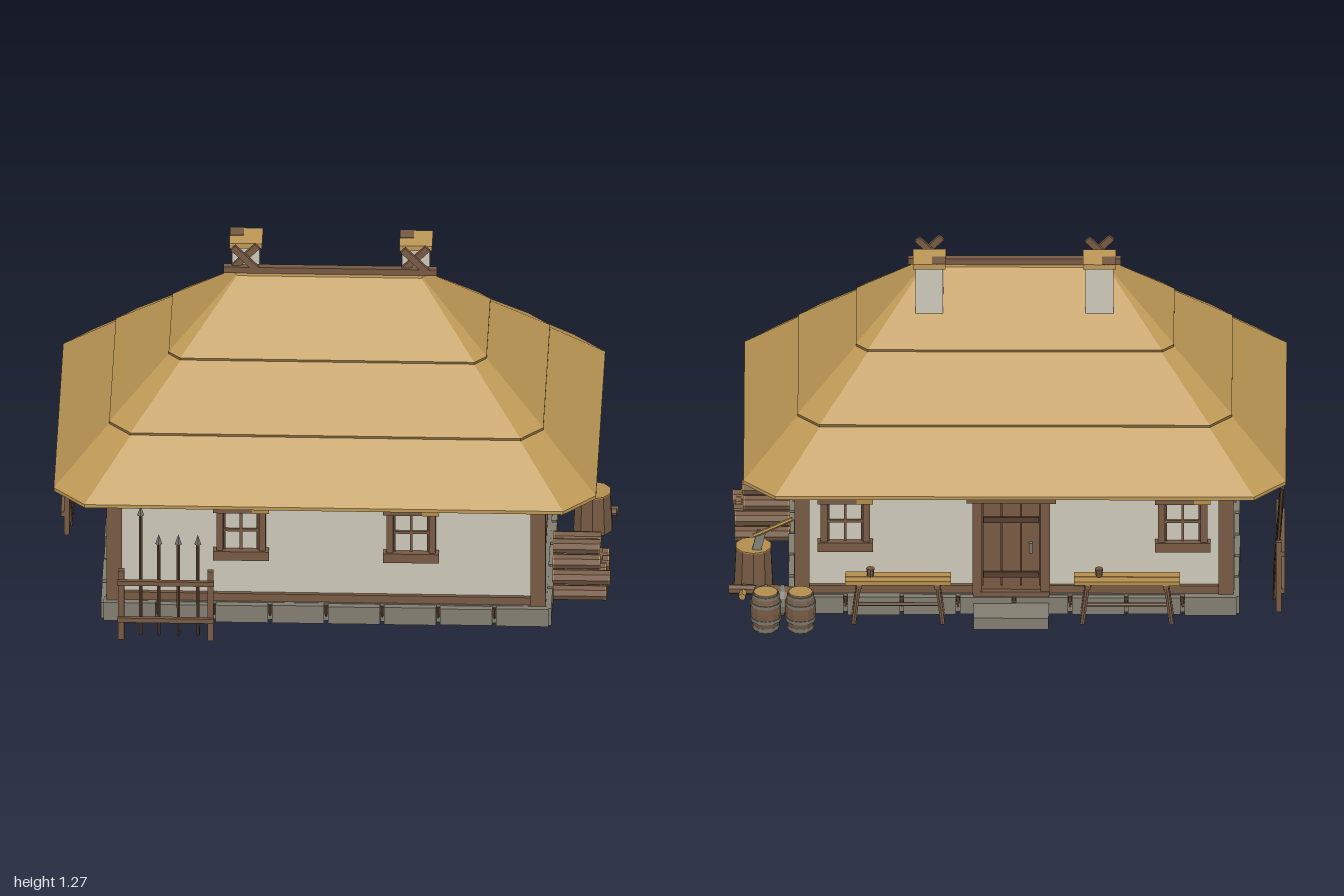
import * as THREE from 'three';

const mat = (name, color) => {
  const m = new THREE.MeshStandardMaterial({ color });
  m.name = name;
  return m;
};

export function createModel() {
  const thatch = mat('thatch', 0xbd9855), thatchEdge = mat('thatch edge', 0x86693a);
  const wood = mat('wood', 0x765a43), darkWood = mat('dark wood', 0x553f2f);
  const paleWood = mat('pale wood', 0xb28d4c), plaster = mat('plaster', 0xcbc7b8);
  const stone = mat('stone', 0x827d70), iron = mat('iron', 0x777770);
  const model = new THREE.Group();
  model.name = 'thatchedCottage';
  let seed = 7;
  const rand = () => (seed = (seed * 16807) % 2147483647) / 2147483647;

  // faceted mesh, box, rod and group helpers
  const add = (parent, name, geo, m, x = 0, y = 0, z = 0) => {
    const g = geo.index ? geo.toNonIndexed() : geo;
    g.computeVertexNormals();
    const mesh = new THREE.Mesh(g, m);
    mesh.name = name;
    mesh.position.set(x, y, z);
    parent.add(mesh);
    return mesh;
  };
  const box = (parent, name, m, w, h, d, x, y, z) => add(parent, name, new THREE.BoxGeometry(w, h, d), m, x, y, z);
  const rod = (parent, name, m, from, to, r, sides = 6, r2 = r) => {
    const a = new THREE.Vector3(...from), b = new THREE.Vector3(...to);
    const mesh = add(parent, name, new THREE.CylinderGeometry(r2, r, a.distanceTo(b), sides), m);
    mesh.position.copy(a).add(b).multiplyScalar(0.5);
    mesh.quaternion.setFromUnitVectors(new THREE.Vector3(0, 1, 0), b.sub(a).normalize());
    return mesh;
  };
  const group = (name, x, y, z, ry = 0) => {
    const g = new THREE.Group();
    g.name = name;
    g.position.set(x, y, z);
    g.rotation.y = ry;
    model.add(g);
    return g;
  };
  const CX = -0.025;

  // foundation with separate stones and pegs in the joints
  box(model, 'foundation', stone, 1.58, 0.072, 0.96, CX, 0.036, 0);
  const stoneRow = (len, n, place) => {
    const step = len / n;
    for (let i = 0; i < n; i++) {
      const u = -len / 2 + step * (i + 0.5), d = 0.045 + rand() * 0.012;
      place('foundationStone', new THREE.BoxGeometry(step - 0.014, 0.062 + rand() * 0.012, d), stone, u, 0.035);
      if (i) place('jointPeg', new THREE.CylinderGeometry(0.011, 0.004, 0.045, 5), darkWood, u - step / 2, 0.04);
    }
  };
  for (const s of [1, -1]) {
    stoneRow(1.61, 8, (n, g, m, u, y) => add(model, n, g, m, CX + u, y, s * 0.478));
    stoneRow(1.0, 6, (n, g, m, u, y) => add(model, n, g, m, CX + s * 0.782, y, u).rotation.y = Math.PI / 2);
  }

  // walls, sill beams and corner posts
  box(model, 'walls', plaster, 1.52, 0.49, 0.92, CX, 0.315, 0);
  for (const s of [1, -1]) {
    box(model, 'sillBeam', wood, 1.5, 0.03, 0.03, CX, 0.087, s * 0.46);
    box(model, 'sillBeam', wood, 0.03, 0.03, 0.9, CX + s * 0.76, 0.087, 0);
    for (const t of [1, -1]) box(model, 'cornerPost', wood, 0.054, 0.485, 0.054, CX + s * 0.76, 0.315, t * 0.457);
  }

  // thatched roof: octagonal sections shrinking to the ridge
  const ring = (t, out, dy) => {
    const hx = 0.9725 - 0.6375 * t + out, zh = 0.67 - 0.64 * t + out;
    const cx = 0.11 * (1 - t) + 0.004, cz = 0.12 * (1 - t) + 0.004, y = 0.56 + 0.597 * t + dy;
    return [[hx, zh - cz], [hx - cx, zh], [cx - hx, zh], [-hx, zh - cz], [-hx, cz - zh], [cx - hx, -zh], [hx - cx, -zh], [hx, cz - zh]]
      .map(([x, z]) => [x - 0.0275, y, z]);
  };
  const geoFrom = (pts) => new THREE.BufferGeometry().setAttribute('position', new THREE.Float32BufferAttribute(pts.flat(), 3));
  const band = (lo, hi) => geoFrom(lo.flatMap((a, i) => {
    const j = (i + 1) % lo.length;
    return [a, hi[i], hi[j], a, hi[j], lo[j]];
  }));
  const cap = (r, up) => geoFrom(r.flatMap((a, i) => {
    const b = r[(i + 1) % r.length], c = [-0.0275, a[1], 0];
    return up ? [c, b, a] : [c, a, b];
  }));
  const tiers = [0, 0.318, 0.645, 1];
  for (let i = 0; i < 3; i++) {
    const low = ring(tiers[i], i ? 0.009 : 0, -0.013), top = ring(tiers[i], i ? 0.009 : 0, 0);
    add(model, 'thatchLip', band(low, top), i ? thatchEdge : thatch);
    add(model, 'thatchTier', band(top, ring(tiers[i + 1], 0, 0)), thatch);
    add(model, i ? 'lipUnderside' : 'roofUnderside', cap(low, false), i ? thatchEdge : wood);
  }
  add(model, 'ridgeThatch', cap(ring(1, 0, 0), true), thatch);

  // ridge beam, crossed boards and chimneys
  box(model, 'ridgeBeam', wood, 0.765, 0.024, 0.026, CX, 1.17, 0);
  for (const s of [1, -1]) {
    const x = CX + s * 0.305;
    for (const t of [1, -1]) box(model, 'crossedBoard', wood, 0.024, 0.125, 0.015, x, 1.215, t * 0.007).rotation.z = t * 0.78;
    box(model, 'chimney', plaster, 0.1, 0.28, 0.1, x, 1.085, -0.112);
    box(model, 'chimneyCap', thatch, 0.118, 0.02, 0.12, x, 1.232, -0.115);
    box(model, 'chimneyCapPatch', wood, 0.05, 0.004, 0.06, x - 0.034, 1.242, -0.145);
  }

  // windows
  const addWindow = (x, z, ry) => {
    const g = group('window', x, 0, z, ry);
    box(g, 'pane', plaster, 0.14, 0.16, 0.006, 0, 0.36, 0.004);
    box(g, 'lintel', wood, 0.14, 0.036, 0.036, -0.03, 0.457, 0.018);
    box(g, 'lintelEnd', paleWood, 0.06, 0.036, 0.036, 0.07, 0.457, 0.018);
    box(g, 'sill', wood, 0.2, 0.036, 0.036, 0, 0.265, 0.018);
    for (const s of [1, -1]) {
      box(g, 'jamb', wood, 0.024, 0.16, 0.028, s * 0.076, 0.36, 0.014);
      box(g, 'sash', darkWood, 0.008, 0.16, 0.014, s * 0.06, 0.36, 0.007);
    }
    box(g, 'mullion', wood, 0.01, 0.16, 0.014, 0, 0.36, 0.008);
    box(g, 'transom', wood, 0.13, 0.01, 0.014, 0, 0.36, 0.008);
  };
  for (const s of [1, -1]) {
    addWindow(CX + s * 0.305, 0.46, 0);
    addWindow(CX + s * 0.605, -0.46, Math.PI);
    addWindow(CX + s * 0.76, 0, s * Math.PI / 2);
  }

  // door and step at the back
  const door = group('door', -0.015, 0, -0.46, Math.PI);
  for (let i = -1; i < 2; i++) box(door, 'doorPlank', wood, 0.066, 0.35, 0.016, i * 0.069, 0.26, 0.008);
  box(door, 'doorBacking', darkWood, 0.21, 0.35, 0.008, 0, 0.26, 0.004);
  for (const s of [1, -1]) {
    box(door, 'doorPost', wood, 0.034, 0.38, 0.034, s * 0.122, 0.265, 0.017);
    box(door, 'doorBatten', darkWood, 0.2, 0.022, 0.007, 0, 0.26 + s * 0.11, 0.019);
  }
  box(door, 'doorLintel', wood, 0.32, 0.04, 0.04, 0, 0.465, 0.02);
  box(door, 'threshold', wood, 0.27, 0.02, 0.036, 0, 0.078, 0.018);
  box(door, 'doorHandle', iron, 0.014, 0.04, 0.018, 0.07, 0.26, 0.022);
  box(door, 'doorStep', stone, 0.27, 0.045, 0.12, 0, 0.0225, 0.1);

  // benches, each with a mug
  for (const [x, mugX] of [[0.39, 0.1], [-0.43, 0.1]]) {
    const b = group('bench', x, 0, -0.54);
    for (const s of [1, -1]) {
      box(b, 'seatPlank', paleWood, 0.38, 0.016, 0.036, 0, 0.163, s * 0.02);
      box(b, 'seatBrace', wood, 0.02, 0.018, 0.07, s * 0.14, 0.147, 0);
      rod(b, 'benchStretcher', wood, [s * 0.15, 0.06, -0.03], [s * 0.15, 0.06, 0.03], 0.007);
      for (const t of [1, -1]) rod(b, 'benchLeg', wood, [s * 0.16, 0, t * 0.036], [s * 0.14, 0.155, t * 0.024], 0.009);
    }
    rod(b, 'benchRail', wood, [-0.15, 0.06, 0], [0.15, 0.06, 0], 0.007);
    rod(b, 'mug', wood, [mugX, 0.171, 0.005], [mugX, 0.203, 0.005], 0.011, 8, 0.015);
  }

  // fences with spears resting on them
  const addFence = (x, z, ry, tall) => {
    const f = group('fence', x, 0, z, ry);
    for (const s of [1, -1]) box(f, 'fencePost', wood, 0.022, 0.28, 0.02, s * 0.16, 0.14, 0);
    for (const y of [0.085, 0.235]) box(f, 'fenceRail', wood, 0.345, 0.018, 0.016, 0, y, 0.014);
    [-0.09, -0.025, 0.045, 0.115].forEach((u, i) => {
      const h = i ? 0.395 : tall - 0.04;
      rod(f, 'spearShaft', darkWood, [u, 0.01, -0.015], [u, h, 0.012], 0.007);
      const tip = add(f, 'spearTip', new THREE.ConeGeometry(0.013, 0.04, 4), iron, u, h + 0.018, 0.013);
      tip.scale.z = 0.5;
    });
  };
  addFence(-0.595, 0.637, 0, 0.55);
  addFence(-0.974, -0.31, -Math.PI / 2, 0.5);

  // stacked logs
  for (let row = 0; row < 4; row++) for (let i = 0; i < 5 - row; i++) {
    const z = 0.183 + (i - (4 - row) / 2) * 0.056, y = 0.03 + row * 0.048;
    const x1 = (row < 2 ? 0.965 : 0.935) + rand() * 0.02;
    rod(model, 'log', wood, [0.785, y, z], [x1, y, z], 0.028, 8);
    for (const [a, b] of [[x1, x1 + 0.004], [0.781, 0.785]]) rod(model, 'logEnd', paleWood, [a, y, z], [b, y, z], 0.028, 8);
  }

  // chopping stump, axe and split wood
  rod(model, 'stump', wood, [0.91, 0, -0.255], [0.91, 0.146, -0.255], 0.073, 10, 0.066);
  rod(model, 'stumpTop', paleWood, [0.91, 0.146, -0.255], [0.91, 0.151, -0.255], 0.066, 10);
  rod(model, 'axeHandle', paleWood, [0.91, 0.2, -0.278], [0.77, 0.277, -0.295], 0.008);
  const axe = box(model, 'axeHead', iron, 0.032, 0.075, 0.016, 0.89, 0.183, -0.28);
  axe.rotation.set(0.2, 0, 0.25);
  rod(model, 'splitWood', wood, [0.9, 0.02, -0.35], [0.993, 0.02, -0.345], 0.018, 7);
  rod(model, 'splitWoodEnd', paleWood, [0.993, 0.02, -0.345], [0.997, 0.02, -0.345], 0.018, 7);
  rod(model, 'splitWood', paleWood, [0.94, 0.016, -0.31], [0.95, 0.016, -0.4], 0.014, 5);

  // barrels
  const addBarrel = (x, y, z) => {
    const b = group('barrel', x, y, z);
    const profile = [[0.045, 0], [0.053, 0.04], [0.055, 0.075], [0.053, 0.11], [0.045, 0.147]].map((p) => new THREE.Vector2(...p));
    add(b, 'barrelStaves', new THREE.LatheGeometry(profile, 12), wood);
    for (const [h, r] of [[0.012, 0.049], [0.045, 0.056], [0.105, 0.056], [0.136, 0.049]])
      add(b, 'barrelHoop', new THREE.CylinderGeometry(r, r, 0.013, 12, 1), iron, 0, h, 0);
    for (const h of [0.003, 0.143]) add(b, 'barrelLid', new THREE.CylinderGeometry(0.043, 0.043, 0.01, 12), paleWood, 0, h, 0);
    return b;
  };
  addBarrel(0.74, 0, -0.612);
  addBarrel(0.865, 0, -0.612);
  addBarrel(0.76, 0.056, -0.5).rotation.z = -Math.PI / 2;

  return model;
}
